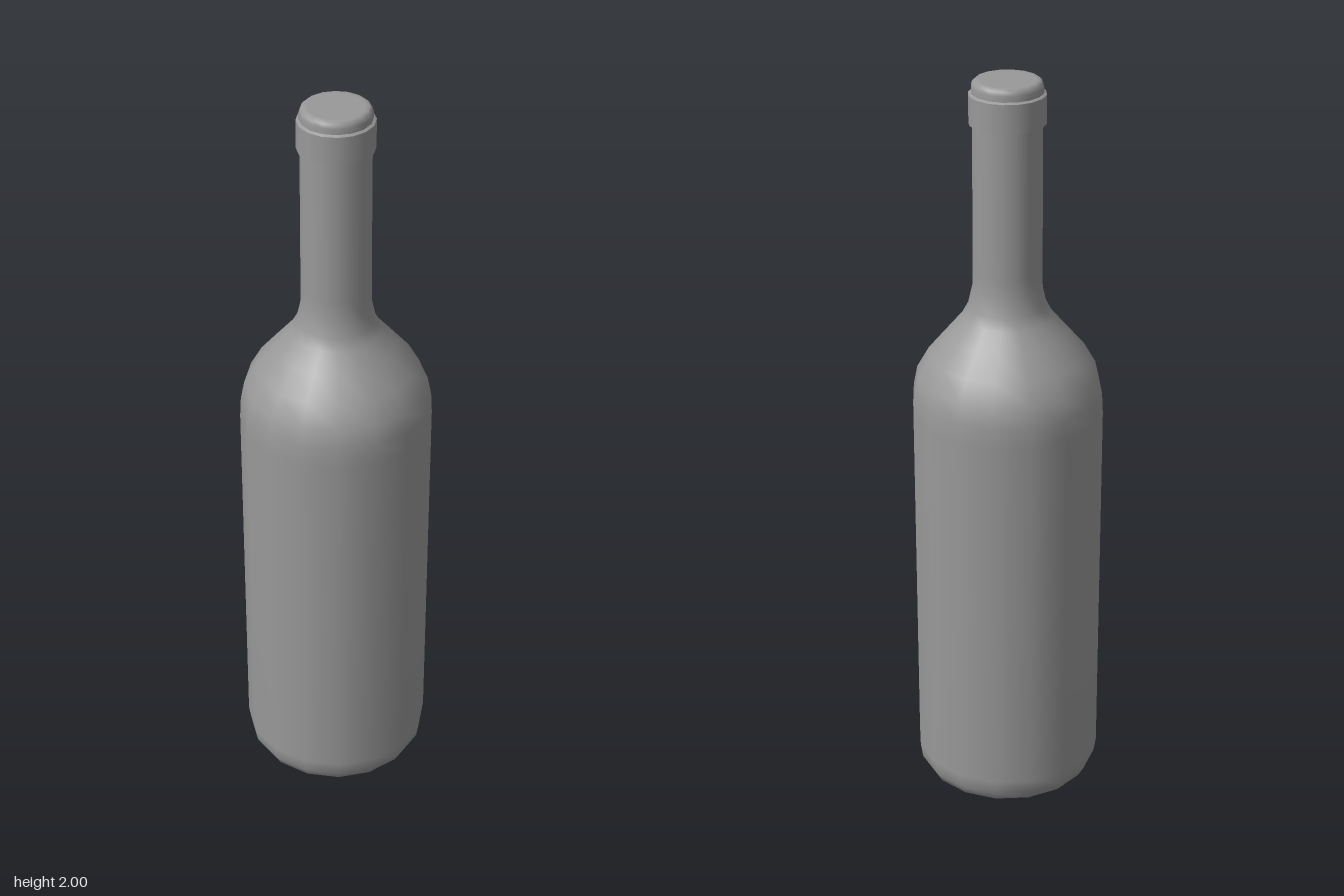
import * as THREE from 'three';

const SIDES = 16;
const WIDTH_RATIO = 1.01; // cross-section is slightly wider than deep
const material = new THREE.MeshStandardMaterial({ color: 0x999999 });

// Revolves a [radius, height] profile, listed from the underside upwards.
function turned(name, profile) {
  const points = profile.map(([r, y]) => new THREE.Vector2(r, y));
  const geometry = new THREE.LatheGeometry(points, SIDES).scale(WIDTH_RATIO, 1, 1);
  const mesh = new THREE.Mesh(geometry, material);
  mesh.name = name;
  return mesh;
}

export function createModel() {
  const bottle = new THREE.Group();
  bottle.name = 'bottle';

  // Shallow hollow underneath, rounded heel, straight wall, shoulder and neck
  bottle.add(turned('glassBody', [
    [0, 0.045], [0.05, 0.041], [0.1, 0.024], [0.14, 0.007],
    [0.17, 0], [0.2, 0.005], [0.226, 0.02], [0.243, 0.05], [0.249, 0.09],
    [0.249, 0.6], [0.249, 1.11], [0.246, 1.165], [0.236, 1.215], [0.205, 1.27],
    [0.155, 1.33], [0.117, 1.375], [0.101, 1.405], [0.09, 1.455],
    [0.089, 1.5], [0.088, 1.9],
  ]));

  // Collar around the mouth: underside, band and top ledge
  bottle.add(turned('collarUnderside', [[0.086, 1.89], [0.097, 1.89]]));
  bottle.add(turned('collarBand', [[0.097, 1.89], [0.097, 1.965]]));
  bottle.add(turned('collarLedge', [[0.097, 1.965], [0.088, 1.97]]));

  // Rounded lip running smoothly into the closed flat top
  bottle.add(turned('lipAndTop', [
    [0.09, 1.967], [0.09, 1.984], [0.087, 1.994], [0.08, 2], [0.07, 2], [0, 2],
  ]));

  return bottle;
}
